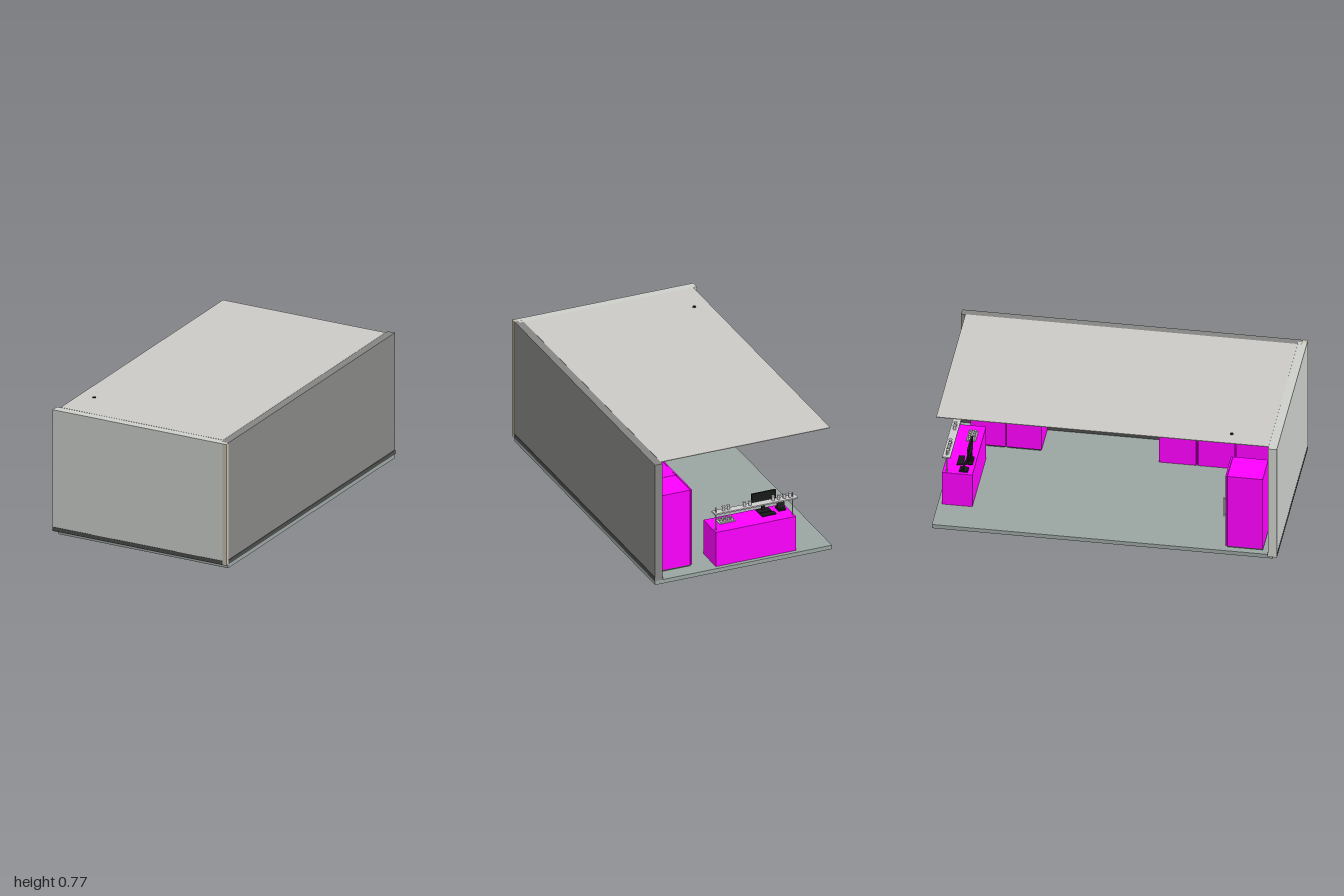
import * as THREE from 'three';

const mat = (color) => new THREE.MeshStandardMaterial({ color });
const M = {
  floor: mat(0x9aa5a2), front: mat(0xcccfca), side: mat(0x858583), roof: mat(0xcccac6),
  trim: mat(0xc6bead), skirting: mat(0x4a4c4a), furniture: mat(0xff00ff),
  black: mat(0x181a1a), grey: mat(0xcccccc),
};

// Box given by its min and max on each axis
function box(parent, name, m, x0, x1, y0, y1, z0, z1) {
  const mesh = new THREE.Mesh(new THREE.BoxGeometry(x1 - x0, y1 - y0, z1 - z0), m);
  mesh.position.set((x0 + x1) / 2, (y0 + y1) / 2, (z0 + z1) / 2);
  mesh.name = name;
  parent.add(mesh);
  return mesh;
}

// Upright cylinder standing on y
function cyl(parent, name, m, r, h, x, y, z, sides = 14) {
  const mesh = new THREE.Mesh(new THREE.CylinderGeometry(r, r, h, sides), m);
  mesh.position.set(x, y + h / 2, z);
  mesh.name = name;
  parent.add(mesh);
  return mesh;
}

function group(parent, name) {
  const g = new THREE.Group();
  g.name = name;
  parent.add(g);
  return g;
}

const FLOOR = 0.025, TOP = 0.768;

function buildShell(root) {
  const shell = group(root, 'roomShell');
  box(shell, 'floor', M.floor, -0.545, 0.562, 0, FLOOR, -1, 0.972);
  box(shell, 'frontWall', M.front, -0.568, 0.54, FLOOR, TOP, 0.948, 0.999);
  box(shell, 'sideWall', M.side, 0.515, 0.562, FLOOR, TOP, -1, 0.972);
  box(shell, 'cornerTrim', M.trim, 0.54, 0.565, FLOOR, TOP, 0.972, 1);
  box(shell, 'ceiling', M.roof, -0.545, 0.515, TOP - 0.003, TOP + 0.001, -0.975, 0.948);
  // Dark skirting on both faces of each wall
  const s = 0.05;
  box(shell, 'frontSkirtingOuter', M.skirting, -0.568, 0.54, FLOOR, s, 0.999, 1);
  box(shell, 'frontSkirtingInner', M.skirting, -0.568, 0.515, FLOOR, s, 0.945, 0.948);
  box(shell, 'sideSkirtingOuter', M.skirting, 0.562, 0.565, FLOOR, s, -1, 0.972);
  box(shell, 'sideSkirtingInner', M.skirting, 0.512, 0.515, FLOOR, s, -1, 0.948);
  cyl(shell, 'ceilingFitting', M.black, 0.01, 0.012, -0.45, TOP - 0.007, 0.72, 16);
}

// Tall cabinet on a plinth; its door faces -z, origin at the floor centre
function tallCabinet(root, name, x, z, turn, handleSide) {
  const g = group(root, name), w = 0.102, d = 0.108, h = 0.488;
  box(g, 'plinth', M.skirting, -w + 0.005, w - 0.005, 0, 0.012, -d + 0.008, d);
  box(g, 'cabinetBody', M.furniture, -w, w, 0.01, h, -d + 0.012, d);
  box(g, 'door', M.furniture, -w, w, 0.01, h, -d, -d + 0.01);
  const hx = handleSide * (w - 0.018);
  box(g, 'handle', M.grey, hx - 0.004, hx + 0.004, 0.2, 0.33, -d - 0.014, -d - 0.008);
  for (const y of [0.21, 0.315])
    box(g, 'handleMount', M.grey, hx - 0.003, hx + 0.003, y, y + 0.006, -d - 0.009, -d);
  g.position.set(x, FLOOR, z);
  g.rotation.y = turn;
}

// Row of base cabinets along the side wall
function buildCounters(root) {
  const row = group(root, 'baseCabinets');
  for (let i = 0; i < 3; i++) {
    const z = 0.18 + i * 0.224;
    box(row, 'baseCabinet', M.furniture, 0.29, 0.508, FLOOR, 0.25, z, z + 0.22);
    box(row, 'baseCabinetDoor', M.furniture, 0.28, 0.288, FLOOR + 0.005, 0.247, z + 0.003, z + 0.217);
  }
}

function buildDesk(root) {
  const desk = group(root, 'serviceCounter'), top = 0.243;
  box(desk, 'counterBody', M.furniture, -0.33, 0.17, FLOOR, top, -0.975, -0.8);

  // Raised shelf on slim posts
  box(desk, 'shelf', M.grey, -0.345, 0.175, 0.352, 0.36, -0.972, -0.925);
  for (const x of [-0.32, 0.16])
    cyl(desk, 'shelfPost', M.grey, 0.004, 0.145, x, top, -0.95, 10);

  // Cups and jars on the shelf
  for (const x of [0.11, 0.08, -0.02, -0.055, -0.2, -0.235, -0.27, -0.305]) {
    cyl(desk, 'cup', M.grey, 0.009, 0.024, x, 0.36, -0.947);
    cyl(desk, 'cupLid', M.grey, 0.0105, 0.004, x, 0.384, -0.947);
  }

  // Screen with stand and keyboard
  box(desk, 'screen', M.black, -0.265, -0.115, 0.28, 0.366, -0.842, -0.83);
  box(desk, 'screenNeck', M.black, -0.2, -0.18, top, 0.3, -0.834, -0.824);
  box(desk, 'screenFoot', M.black, -0.23, -0.15, top, top + 0.005, -0.86, -0.815);
  box(desk, 'keyboard', M.black, -0.24, -0.15, top, top + 0.006, -0.905, -0.87);

  // Payment terminal
  box(desk, 'terminalBase', M.black, -0.31, -0.265, top, top + 0.01, -0.88, -0.83);
  const terminal = box(desk, 'terminal', M.black, -0.31, -0.265, top + 0.008, top + 0.055, -0.86, -0.85);
  terminal.rotation.x = 0.3;

  // Tray of small cups
  box(desk, 'tray', M.grey, 0.01, 0.11, top, top + 0.006, -0.89, -0.835);
  for (let i = 0; i < 4; i++)
    for (const z of [-0.875, -0.85])
      cyl(desk, 'trayCup', M.grey, 0.008, 0.014, 0.025 + i * 0.023, top + 0.006, z);
}

export function createModel() {
  const root = new THREE.Group();
  root.name = 'cutawayRoom';
  buildShell(root);
  // Pair beside the side wall faces -x, single one by the front wall faces -z
  tallCabinet(root, 'tallCabinetBack', 0.398, -0.808, Math.PI / 2, -1);
  tallCabinet(root, 'tallCabinetMiddle', 0.398, -0.6, Math.PI / 2, 1);
  tallCabinet(root, 'tallCabinetFront', -0.407, 0.8, 0, -1);
  buildCounters(root);
  buildDesk(root);
  return root;
}
